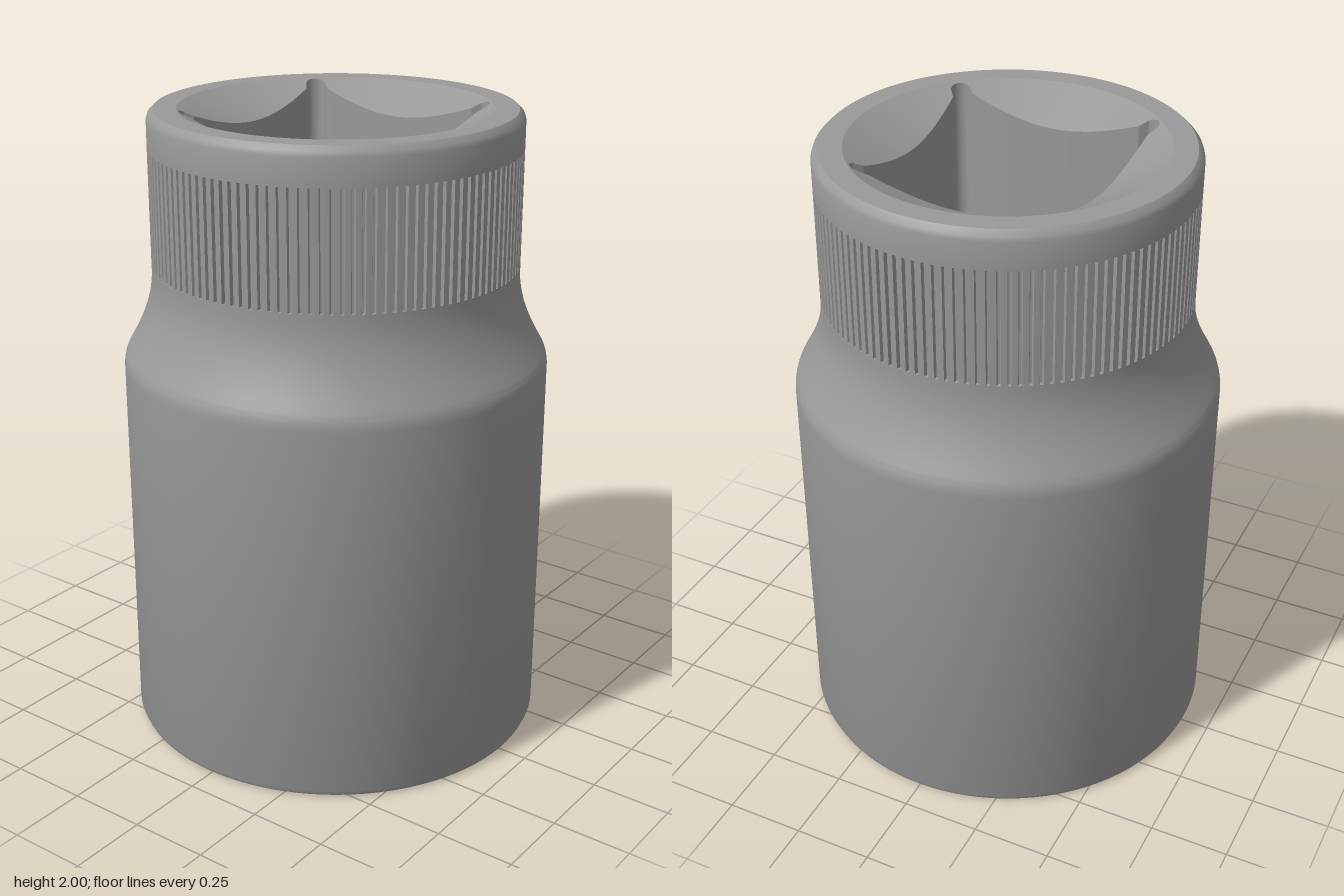
import * as THREE from 'three';
import { toCreasedNormals } from 'three/addons/utils/BufferGeometryUtils.js';

const steel = new THREE.MeshStandardMaterial({ color: 0x999999 });
const V = (x, y) => new THREE.Vector2(x, y);

function part(name, geometry) {
  const mesh = new THREE.Mesh(geometry, steel);
  mesh.name = name;
  return mesh;
}

// Angle measured from the nearest multiple of step
const fold = (t, step) => t - step * Math.round(t / step);

// Hexagon with rounded corners, corners on +z and -z
function hexRadius(t) {
  const apothem = 0.486, fillet = 0.15;
  const c = (apothem - fillet) / Math.cos(Math.PI / 6);
  const a = Math.abs(fold(t, Math.PI / 3));
  if (a < Math.atan(c * 0.5 / apothem)) return apothem / Math.cos(a);
  const d = Math.PI / 6 - a;
  return c * Math.cos(d) + Math.sqrt(fillet ** 2 - (c * Math.sin(d)) ** 2);
}

// Square with slightly bowed sides and round corner reliefs
function squareRadius(t) {
  const a = Math.abs(fold(t, Math.PI / 2));
  const side = (0.312 + 0.016 * Math.tan(a) ** 2) / Math.cos(a);
  const c = 0.31 * Math.SQRT2, relief = 0.034, d = Math.PI / 4 - a;
  const inside = relief ** 2 - (c * Math.sin(d)) ** 2;
  return inside > 0 ? Math.max(side, c * Math.cos(d) + Math.sqrt(inside)) : side;
}

// Skin of rings facing the axis; each ring maps an angle to [radius, height]
function loft(rings, n) {
  const pos = [], index = [];
  rings.forEach((ring, i) => {
    for (let j = 0; j < n; j++) {
      const t = (j / n) * Math.PI * 2;
      const [r, y] = ring(t);
      pos.push(r * Math.cos(t), y, r * Math.sin(t));
      if (i === rings.length - 1) continue;
      const a = i * n + j, b = i * n + ((j + 1) % n);
      index.push(a, b, a + n, b, b + n, a + n);
    }
  });
  const g = new THREE.BufferGeometry();
  g.setAttribute('position', new THREE.Float32BufferAttribute(pos, 3));
  g.setIndex(index);
  return toCreasedNormals(g, 0.45);
}

export function createModel() {
  const group = new THREE.Group();
  group.name = 'socket';

  const knurlBottom = 1.525, knurlTop = 1.885, neck = 0.57;
  const bottomRim = 0.59, topRim = 0.478, shoulder = 1.1;

  // Outer body: wide barrel, rounded edge, flared shoulder, neck recessed for the knurl
  const edge = new THREE.QuadraticBezierCurve(V(0.665, 1.205), V(0.665, 1.234), V(0.652, 1.257));
  const flare = new THREE.CubicBezierCurve(V(0.652, 1.257), V(0.6, 1.345), V(0.572, 1.42), V(neck, 1.5));
  const profile = [
    V(bottomRim, 0), V(0.645, 0), V(0.658, 0.006), V(0.665, 0.022),
    ...edge.getPoints(6), ...flare.getPoints(12).slice(1),
    V(neck, knurlBottom), V(0.545, knurlBottom), V(0.545, knurlTop), V(neck, knurlTop),
    V(neck, 1.97), V(0.565, 1.985), V(0.55, 2), V(topRim, 2),
  ];
  group.add(part('body', toCreasedNormals(new THREE.LatheGeometry(profile, 96), 0.5)));

  // Knurled grip band: ring with fine grooves
  const teeth = 120, outline = [];
  for (let i = 0; i < teeth; i++) {
    for (const [f, r] of [[0, neck], [0.6, neck], [0.7, 0.558], [0.9, 0.558]]) {
      const t = ((i + f) / teeth) * Math.PI * 2;
      outline.push(V(r * Math.cos(t), r * Math.sin(t)));
    }
  }
  const band = new THREE.Shape(outline);
  band.holes.push(new THREE.Path().absarc(0, 0, 0.54, 0, Math.PI * 2, true));
  const knurl = new THREE.ExtrudeGeometry(band, {
    depth: knurlTop - knurlBottom, bevelEnabled: false, curveSegments: 48,
  });
  knurl.rotateX(-Math.PI / 2).translate(0, knurlBottom, 0);
  group.add(part('knurledBand', knurl));

  // Hexagonal bore from below with a conical lead-in, ending in a flat step
  group.add(part('hexBore', loft([
    () => [bottomRim, 0],
    (t) => [hexRadius(t), (bottomRim - hexRadius(t)) * 0.58],
    (t) => [hexRadius(t), shoulder],
    (t) => [squareRadius(t), shoulder],
  ], 480)));

  // Square drive bore up to the top, opening in a shallow cone
  group.add(part('squareDrive', loft([
    (t) => [squareRadius(t), shoulder],
    (t) => [squareRadius(t), 2 - (topRim - squareRadius(t)) * 0.5],
    () => [topRim, 2],
  ], 480)));

  return group;
}
